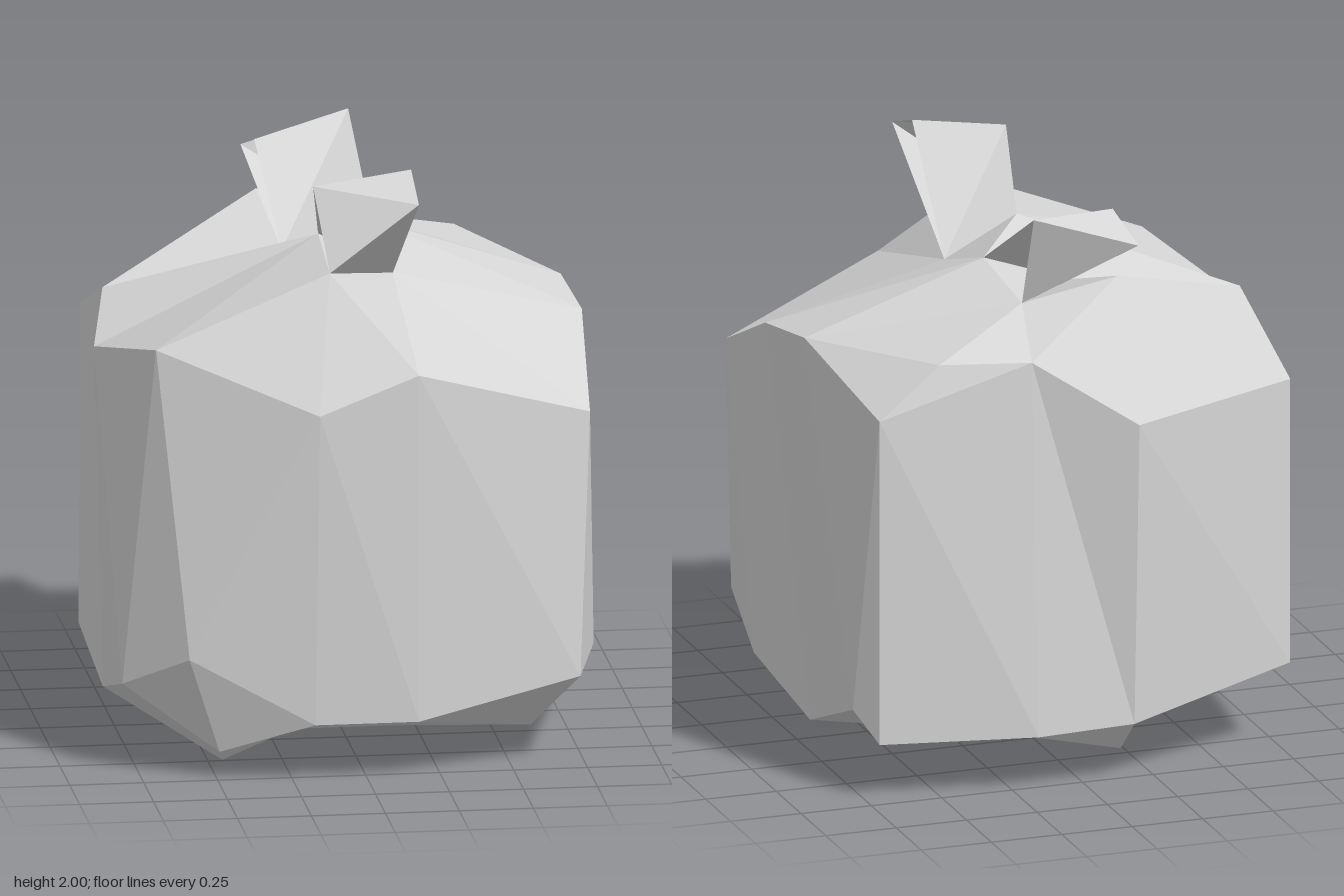
import * as THREE from 'three';

const V = (x, y, z) => new THREE.Vector3(x, y, z);

// Faceted mesh from triangles, each a list of three points
function facets(name, tris, material) {
  const g = new THREE.BufferGeometry().setFromPoints(tris.flat());
  g.computeVertexNormals();
  const mesh = new THREE.Mesh(g, material);
  mesh.name = name;
  return mesh;
}

// Triangles joining two rows of equal length, both counterclockwise from above;
// repeated points in a row give single triangles
function band(low, high) {
  const out = [];
  for (let i = 0; i + 1 < low.length; i++) {
    if (low[i] !== low[i + 1]) out.push([low[i], low[i + 1], high[i]]);
    if (high[i] !== high[i + 1]) out.push([low[i + 1], high[i + 1], high[i]]);
  }
  return out;
}

// Knotted corner: an open loop of folded sheet rising from the top
function ear(name, [a, b, c, d, e, f], material) {
  return facets(name, [
    [a, e, b], [a, b, d], [d, b, c],
    [d, c, e], [d, e, f],
  ], material);
}

export function createModel() {
  const grey = new THREE.MeshStandardMaterial({ color: 0xd6d6d6, flatShading: true, side: THREE.DoubleSide });
  grey.name = 'grey plastic';
  const model = new THREE.Group();
  model.name = 'tiedBag';

  // Shoulder ring, from the front round by +x
  const r = [
    V(-0.17, 1.28, 0.87), V(0.17, 1.4, 0.83), V(0.77, 1.21, 0.66), V(0.81, 1.43, 0.15),
    V(0.78, 1.47, -0.16), V(0.71, 1.34, -0.72), V(0.18, 1.5, -0.75), V(-0.16, 1.28, -0.87),
    V(-0.78, 1.3, -0.63), V(-0.77, 1.48, -0.15), V(-0.84, 1.36, 0.16), V(-0.69, 1.46, 0.61),
  ];
  // Lower ring; two corners are split in two
  const low = [
    V(-0.18, 0.2, 0.83), V(0.17, 0.2, 0.83), V(0.73, 0.31, 0.72), V(0.85, 0.27, 0.15),
    V(0.76, 0.12, -0.16), V(0.77, 0.3, -0.62), V(0.71, 0.2, -0.72), V(0.18, 0.2, -0.82),
    V(-0.16, 0.21, -0.82), V(-0.78, 0.3, -0.63), V(-0.85, 0.32, -0.16), V(-0.81, 0.18, 0.16),
    V(-0.8, 0.3, 0.58), V(-0.49, 0.09, 0.72),
  ];
  const wallTop = [0, 1, 2, 3, 4, 5, 5, 6, 7, 8, 9, 10, 11].map(i => r[i]);

  // Pinched front corner above the lower ring
  const pinch = V(-0.6, 0.43, 0.79);
  const corner = [
    [low[12], low[13], pinch], [low[13], low[0], pinch], [low[12], pinch, r[11]],
    [pinch, r[0], r[11]], [pinch, low[0], r[0]],
  ];
  model.add(facets('sides', [...band(low.slice(0, 13), wallTop), ...corner], grey));

  // Underside slopes in to a small foot with three outlying points
  const fl = V(-0.17, 0.01, 0.16), fr = V(0.17, 0.01, 0.16);
  const br = V(0.17, 0.02, -0.17), bl = V(-0.17, 0.02, -0.17);
  const back = V(-0.17, 0.07, -0.65), right = V(0.6, 0.07, 0.43), left = V(-0.45, 0, 0.49);
  const foot = [fl, fr, right, fr, br, br, br, br, back, bl, bl, fl, left, left, fl];
  model.add(facets('underside', [
    ...band(foot, [...low, low[0]]),
    [fl, bl, br], [fl, br, fr], [bl, back, br],
  ], grey));

  // Gathered top around the knot
  const A = V(-0.1, 1.7, 0.59), E = V(0.17, 1.58, 0.16), F = V(-0.08, 1.72, 0.14);
  const N = V(0.12, 1.62, -0.48), J = V(-0.16, 1.58, -0.18), G = V(0.14, 1.68, -0.15);
  const H = V(-0.2, 1.7, -0.54), X = V(0.49, 1.51, -0.7);
  model.add(facets('top', [
    [r[11], r[0], A], [r[0], r[1], A], [r[1], E, A], [r[1], r[2], E], [r[2], r[3], E],
    [r[3], G, E], [r[3], r[4], G], [r[4], N, G], [r[4], X, N], [r[4], r[5], X],
    [r[5], r[6], X], [X, r[6], N], [r[6], H, N], [r[6], r[7], H], [r[7], r[8], H],
    [r[8], r[9], H], [r[9], J, H], [H, J, N], [r[9], F, J],
    [r[9], r[10], F], [r[10], r[11], F], [r[11], A, F],
    [A, E, F], [E, G, F], [G, J, F], [G, N, J],
  ], grey));

  // Tied corners, front and back
  model.add(ear('frontEar', [A, V(0.2, 1.93, 0.6), V(0.2, 2, 0.4), V(-0.13, 1.95, 0.39), E, F], grey));
  model.add(ear('backEar', [N, V(-0.24, 1.83, -0.63), V(-0.22, 1.9, -0.43), V(0.12, 1.95, -0.6), J, G], grey));
  return model;
}
